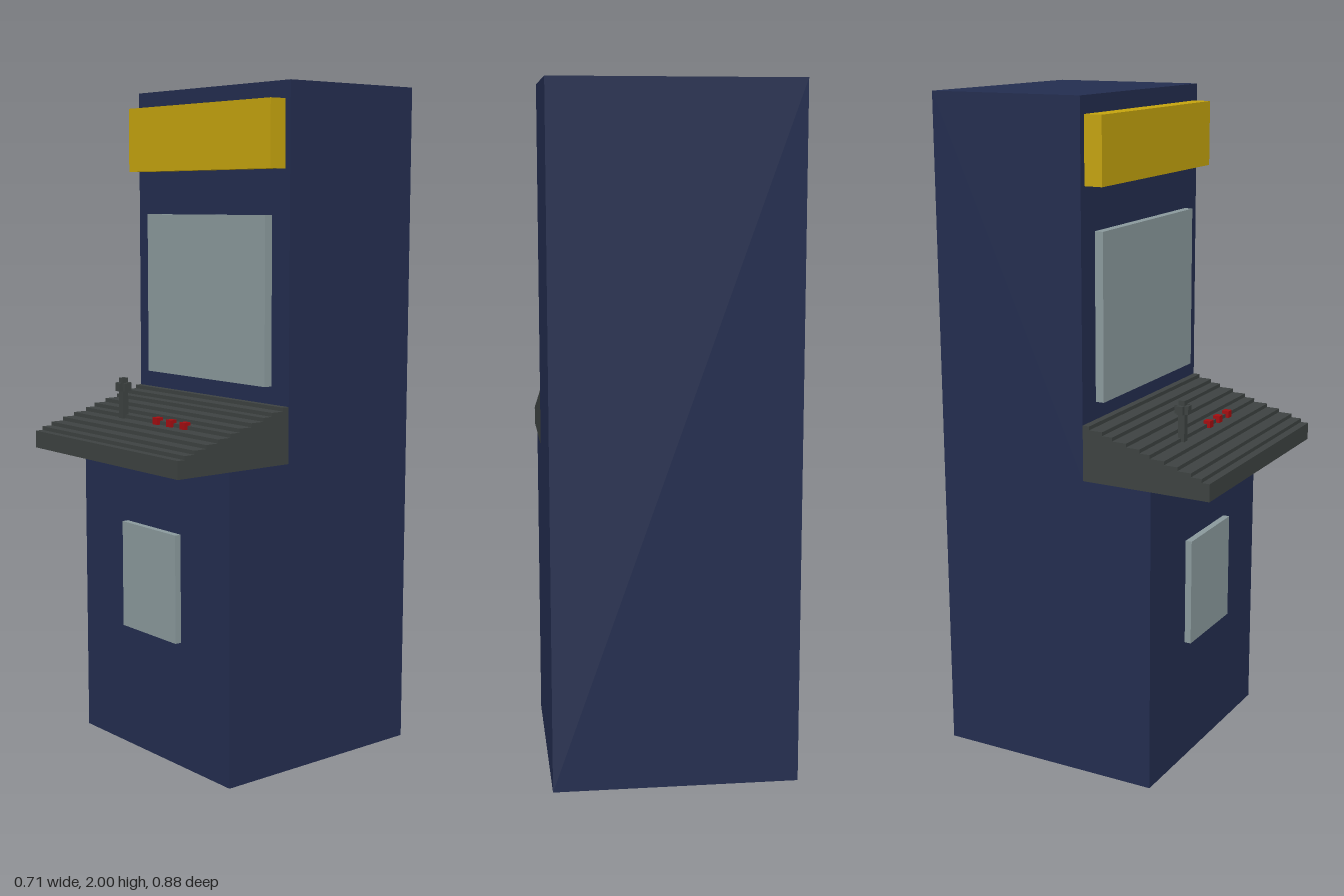
import * as THREE from 'three';

const mat = (name, color) => Object.assign(new THREE.MeshStandardMaterial({ color }), { name });

export function createModel() {
  const model = new THREE.Group();
  model.name = 'arcadeCabinet';

  const navy = mat('navy', 0x232d4f);
  const charcoal = mat('charcoal', 0x3d4241);
  const yellow = mat('yellow', 0xc4a30e);
  const glass = mat('greyGlass', 0x8a999c);
  const red = mat('red', 0xa30d10);

  // Box given by its lower and upper limits on each axis
  const box = (name, material, [x0, x1], [y0, y1], [z0, z1], parent = model) => {
    const mesh = new THREE.Mesh(new THREE.BoxGeometry(x1 - x0, y1 - y0, z1 - z0), material);
    mesh.name = name;
    mesh.position.set((x0 + x1) / 2, (y0 + y1) / 2, (z0 + z1) / 2);
    parent.add(mesh);
    return mesh;
  };

  // Side profile (z, y) extruded across the width
  const slab = (name, material, points, width) => {
    const shape = new THREE.Shape(points.map(([z, y]) => new THREE.Vector2(-z, y)));
    const geometry = new THREE.ExtrudeGeometry(shape, { depth: width, bevelEnabled: false });
    geometry.translate(0, 0, -width / 2).rotateY(Math.PI / 2);
    const mesh = new THREE.Mesh(geometry, material);
    mesh.name = name;
    model.add(mesh);
  };

  // Cabinet body with a deeper lower half
  slab('cabinetBody', navy,
    [[-0.44, 0], [0.26, 0], [0.26, 0.92], [0.042, 0.92], [0.042, 2], [-0.44, 2]], 0.712);

  // Control deck, stepping down towards the player
  const edges = [0.063, 0.105, 0.137, 0.182, 0.224, 0.257, 0.302, 0.343, 0.385, 0.418, 0.442];
  const deck = [[0.042, 0.92], [0.042, 1.085]];
  edges.forEach((z, i) => {
    const y = 1.085 - i * 0.0113;
    if (i > 0) deck.push([edges[i - 1], y]);
    deck.push([z, y]);
  });
  deck.push([0.442, 0.92]);
  slab('controlDeck', charcoal, deck, 0.712);

  // Front fittings
  box('marquee', yellow, [-0.335, 0.335], [1.757, 1.95], [0.042, 0.097]);
  box('screen', glass, [-0.28, 0.28], [1.137, 1.627], [0.042, 0.068]);
  box('coinDoor', glass, [-0.131, 0.131], [0.38, 0.705], [0.26, 0.28]);

  // Joystick with a blocky cross-shaped knob
  const joystick = new THREE.Group();
  joystick.name = 'joystick';
  joystick.position.set(-0.152, 0, 0.257);
  model.add(joystick);
  box('stick', charcoal, [-0.01, 0.01], [1.01, 1.14], [-0.01, 0.01], joystick);
  box('knobAcross', charcoal, [-0.022, 0.022], [1.1, 1.125], [-0.01, 0.01], joystick);
  box('knobDeep', charcoal, [-0.01, 0.01], [1.1, 1.125], [-0.022, 0.022], joystick);

  // Three push buttons
  for (const x of [0.02, 0.085, 0.15]) {
    box('button', red, [x - 0.011, x + 0.011], [1.01, 1.038], [0.246, 0.268]);
  }

  return model;
}
